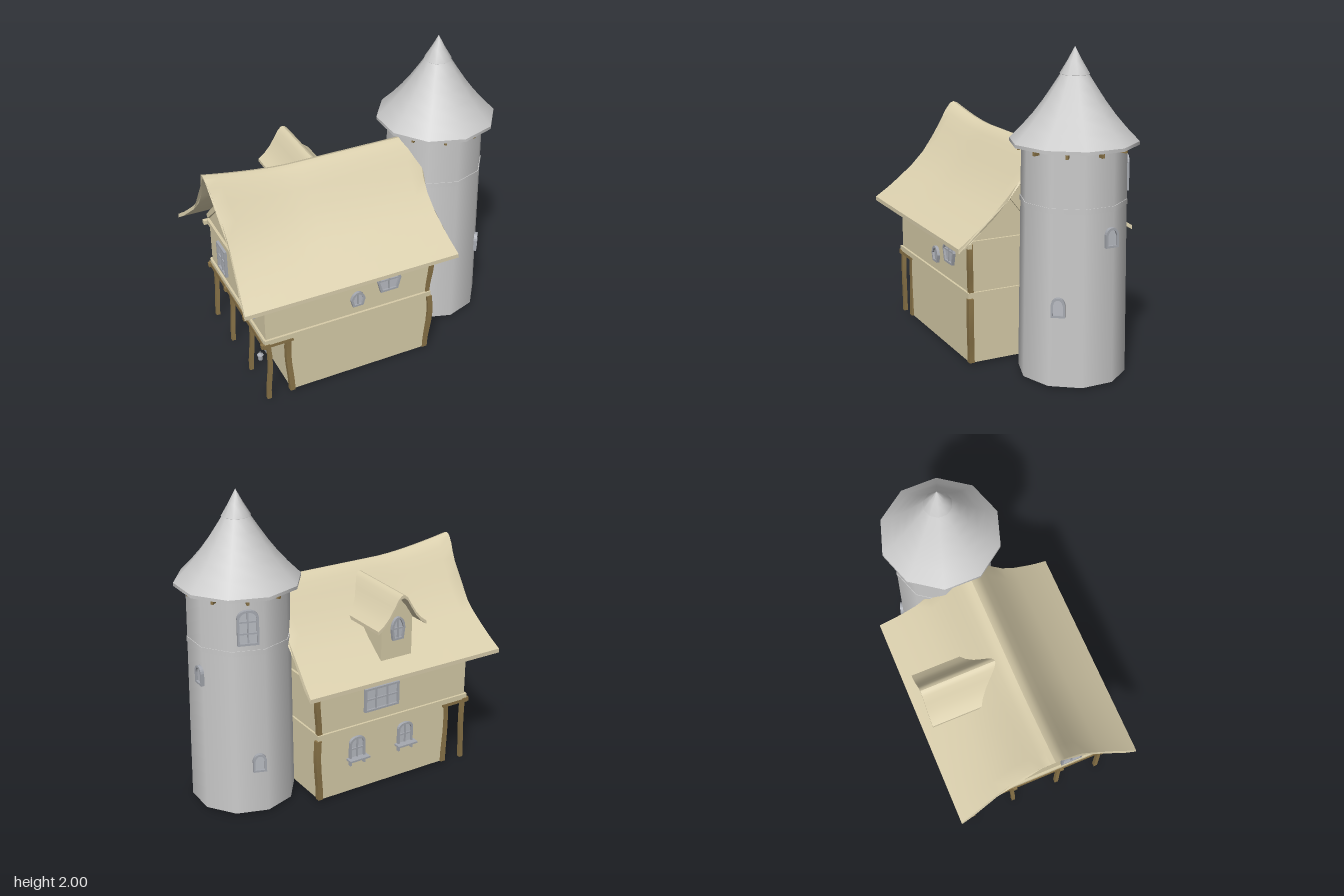
import * as THREE from 'three';
import { toCreasedNormals } from 'three/addons/utils/BufferGeometryUtils.js';

const mat = (color) => new THREE.MeshStandardMaterial({ color, side: THREE.DoubleSide });
const stone = mat(0xcccccc), plaster = mat(0xd8cda9), thatch = mat(0xdbd0ae);
const wood = mat(0x8a7448), frameMat = mat(0xa6a9b0), glass = mat(0xb9bcc3);

const TX = 0.625, TZ = -0.067; // tower centre

function add(parent, name, geo, material, x = 0, y = 0, z = 0) {
  const m = new THREE.Mesh(geo, material);
  m.name = name;
  m.position.set(x, y, z);
  parent.add(m);
  return m;
}
// box given by its limits on each axis
function box(parent, name, material, x0, x1, y0, y1, z0, z1) {
  return add(parent, name, new THREE.BoxGeometry(x1 - x0, y1 - y0, z1 - z0), material,
    (x0 + x1) / 2, (y0 + y1) / 2, (z0 + z1) / 2);
}
function bend(geo, rule) {
  const p = geo.attributes.position, v = new THREE.Vector3();
  for (let i = 0; i < p.count; i++) {
    rule(v.fromBufferAttribute(p, i));
    p.setXYZ(i, v.x, v.y, v.z);
  }
  return toCreasedNormals(geo, 0.6);
}
// mirror a half profile [across, y] running from eave to ridge
const mirrored = (half) => [...half, ...half.slice(0, -1).reverse().map(([a, y]) => [-a, y])];
const toShape = (pts) => new THREE.Shape(pts.map(([a, y]) => new THREE.Vector2(a, y)));
function slabShape(half, thick) {
  const top = mirrored(half);
  return toShape([...top, ...[...top].reverse().map(([a, y]) => [a, y - thick])]);
}
// extrude a shape along x (alongX) or z
function prism(shape, from, to, steps, alongX) {
  const g = new THREE.ExtrudeGeometry(shape, { depth: to - from, steps, bevelEnabled: false });
  g.translate(0, 0, from);
  return alongX ? g.rotateY(Math.PI / 2) : g;
}

// the ridge curls up toward the -x gable
const heightShare = (y) => THREE.MathUtils.clamp((y - 0.8) / 0.575, 0, 1);
function lift(v) {
  v.y += 0.07 * heightShare(v.y) * Math.pow(Math.max(0, -0.45 - v.x) / 0.55, 1.5);
}

// slightly crooked square post
function post(parent, name, x, z, y0, y1, w, sway) {
  const h = y1 - y0;
  const g = new THREE.BoxGeometry(w, h, w, 1, 6, 1);
  add(parent, name, bend(g, (v) => {
    const s = Math.cos((v.y / h + 0.5) * Math.PI * 1.4);
    v.x += sway * s;
    v.z += sway * 0.6 * s * Math.sign(z);
  }), wood, x, (y0 + y1) / 2, z);
}

// beam in a plane of constant x between two [z, y] points
function gableBeam(parent, x, [z0, y0], [z1, y1], w) {
  const m = add(parent, 'gableBeam', new THREE.BoxGeometry(0.03, w, Math.hypot(z1 - z0, y1 - y0)),
    plaster, x, (y0 + y1) / 2, (z0 + z1) / 2);
  m.rotation.x = -Math.atan2(y1 - y0, z1 - z0);
}

// window outline with an arched head and optionally wider shoulders
function archShape(w, h, rise, taper = 0) {
  const s = new THREE.Shape();
  s.moveTo(-w / 2 + taper, -h / 2);
  s.lineTo(w / 2 - taper, -h / 2);
  if (taper) s.lineTo(w / 2, 0);
  s.lineTo(w / 2 - taper / 2, h / 2 - rise);
  if (rise) s.quadraticCurveTo(w / 2 - taper - rise * 0.2, h / 2, 0, h / 2);
  else s.lineTo(0, h / 2);
  if (rise) s.quadraticCurveTo(-w / 2 + taper + rise * 0.2, h / 2, -w / 2 + taper / 2, h / 2 - rise);
  else s.lineTo(-w / 2, h / 2);
  if (taper) s.lineTo(-w / 2, 0);
  s.closePath();
  return s;
}
function makeWindow(parent, name, pos, turn, w, h, { rise = 0, taper = 0, cols = 2, rows = 2, shelf = false } = {}) {
  const g = new THREE.Group(), t = 0.013;
  g.name = name;
  const rim = archShape(w, h, rise, taper);
  rim.holes.push(archShape(w - 2 * t, h - 2 * t, rise * 0.9, taper));
  const opts = { depth: 0.022, bevelEnabled: false, curveSegments: 5 };
  add(g, 'windowFrame', new THREE.ExtrudeGeometry(rim, opts), frameMat);
  add(g, 'windowPane', new THREE.ShapeGeometry(archShape(w - t, h - t, rise, taper), 5), glass, 0, 0, 0.009);
  for (let i = 1; i < cols; i++) {
    const x = -w / 2 + (w * i) / cols;
    box(g, 'upright', frameMat, x - 0.005, x + 0.005, -h / 2 + 0.005, h / 2 - 0.005, 0.004, 0.017);
  }
  for (let i = 1; i < rows; i++) {
    const y = -h / 2 + (h * i) / rows;
    box(g, 'crossbar', frameMat, -w / 2 + 0.005, w / 2 - 0.005, y - 0.005, y + 0.005, 0.004, 0.017);
  }
  if (shelf) {
    box(g, 'windowShelf', frameMat, -w * 0.65, w * 0.65, -h / 2 + 0.01, -h / 2 + 0.022, 0, 0.055);
    for (const s of [-1, 1])
      box(g, 'shelfBracket', frameMat, s * w * 0.45 - 0.006, s * w * 0.45 + 0.006, -h / 2 - 0.03, -h / 2 + 0.01, 0, 0.025);
  }
  g.position.set(...pos);
  g.rotation.y = turn;
  parent.add(g);
}

function makeTower() {
  const g = new THREE.Group();
  g.name = 'tower';
  const v2 = (p) => p.map(([r, y]) => new THREE.Vector2(r, y));
  add(g, 'towerWall', new THREE.CylinderGeometry(0.316, 0.332, 1.43, 10), stone, 0, 0.725, 0);
  add(g, 'towerBand', new THREE.CylinderGeometry(0.324, 0.324, 0.032, 10), stone, 0, 1.085, 0);
  add(g, 'roofRim', new THREE.CylinderGeometry(0.388, 0.388, 0.02, 10), stone, 0, 1.44, 0);
  add(g, 'towerRoof', new THREE.LatheGeometry(v2([[0.388, 1.45], [0.31, 1.53], [0.245, 1.605],
    [0.185, 1.685], [0.135, 1.76], [0.083, 1.84]]), 10), stone);
  add(g, 'roofCap', new THREE.LatheGeometry(v2([[0.083, 1.835], [0.09, 1.84], [0.045, 1.915], [0, 2]]), 10), stone);
  // rim brackets and windows sit on the flat faces
  for (let i = 0; i < 10; i++) {
    const a = (i + 0.5) * Math.PI / 5;
    const b = add(g, 'roofBracket', new THREE.BoxGeometry(0.016, 0.035, 0.05), wood,
      0.315 * Math.sin(a), 1.415, 0.315 * Math.cos(a));
    b.rotation.y = a;
  }
  const onFace = (deg, shift, y, w, h, o) => {
    const a = THREE.MathUtils.degToRad(deg), r = 0.316 - 0.0105 * y;
    makeWindow(g, 'towerWindow', [r * Math.sin(a) + shift * Math.cos(a), y, r * Math.cos(a) - shift * Math.sin(a)], a, w, h, o);
  };
  const slit = { rise: 0.04, cols: 1, rows: 1 };
  onFace(54, -0.045, 0.508, 0.085, 0.12, slit);
  onFace(90, 0.08, 0.917, 0.085, 0.12, slit);
  onFace(162, 0.05, 0.355, 0.085, 0.12, slit);
  onFace(162, 0, 1.25, 0.13, 0.22, { rise: 0.045, rows: 3 });
  g.position.set(TX, 0, TZ);
  return g;
}

function makeHouse() {
  const g = new THREE.Group();
  g.name = 'house';
  box(g, 'groundFloor', plaster, -0.67, 0.305, 0.015, 0.45, -0.475, 0.475);
  const wall = toShape([[-0.475, 0.44], ...mirrored([[0.475, 0.855], [0.26, 1.045], [0.12, 1.215], [0, 1.33]]).reverse(), [0.475, 0.44]]
    .filter((p, i, a) => i === 0 || p !== a[i - 1]));
  add(g, 'upperFloor', bend(prism(wall, -0.83, 0.305, 8, true), lift), plaster);

  // main roof
  const half = [[0.605, 0.81], [0.52, 0.865], [0.44, 0.925], [0.35, 0.995], [0.26, 1.08], [0.19, 1.165],
    [0.12, 1.255], [0.07, 1.325], [0.03, 1.365], [0, 1.375]];
  add(g, 'mainRoof', bend(prism(slabShape(half, 0.027), -1, 0.445, 16, true), (v) => {
    const t = heightShare(v.y);
    lift(v);
    v.x -= 0.045 * Math.sin(Math.PI * t) * (v.x + 0.2775) / 0.7225;
  }), thatch);

  // trim bands, purlins, posts and porch
  for (const s of [-1, 1]) {
    box(g, 'floorBand', plaster, -0.84, 0.32, 0.443, 0.478, s * 0.48 - 0.01, s * 0.48 + 0.01);
    box(g, 'eavePurlin', plaster, -0.87, 0.335, 0.765, 0.795, s * 0.482 - 0.014, s * 0.482 + 0.014);
    post(g, 'cornerPost', 0.308, s * 0.472, 0.015, 0.44, 0.034, -0.012);
    post(g, 'upperCornerPost', 0.31, s * 0.472, 0.478, 0.79, 0.03, -0.01);
    post(g, 'wallPost', -0.675, s * 0.468, 0.015, 0.43, 0.034, 0.008);
  }
  box(g, 'sideBand', plaster, 0.295, 0.318, 0.443, 0.478, -0.48, 0.48);
  box(g, 'sideBand', plaster, -0.845, -0.82, 0.448, 0.478, -0.48, 0.48);
  box(g, 'porchBeam', wood, -0.85, -0.81, 0.42, 0.45, -0.495, 0.495);
  for (const z of [-0.475, -0.17, 0.17, 0.475]) {
    post(g, 'porchPost', -0.818, z, 0, 0.425, 0.026, -0.008);
    box(g, 'porchJoist', wood, -0.862, -0.65, 0.42, 0.448, z - 0.014, z + 0.014);
  }

  // gable timbering
  for (const x of [-0.833, 0.306]) {
    gableBeam(g, x, [-0.47, 0.79], [0.47, 0.79], 0.035);
    gableBeam(g, x, [0, 0.8], [0, 1.31], 0.035);
    for (const s of [-1, 1]) {
      gableBeam(g, x, [s * 0.46, 0.835], [s * 0.25, 1.03], 0.03);
      gableBeam(g, x, [s * 0.25, 1.03], [0, 1.315], 0.03);
      gableBeam(g, x, [0, 0.82], [s * 0.2, 1.07], 0.03);
    }
  }

  // windows and door
  makeWindow(g, 'frontWindow', [0.015, 0.672, 0.472], 0, 0.165, 0.165, { rise: 0.05, taper: 0.022 });
  makeWindow(g, 'smallFrontWindow', [-0.205, 0.592, 0.472], 0, 0.1, 0.105, { rise: 0.035, taper: 0.014, rows: 1 });
  makeWindow(g, 'wideBackWindow', [-0.155, 0.63, -0.472], Math.PI, 0.26, 0.16, { cols: 3 });
  for (const x of [0.027, -0.345])
    makeWindow(g, 'backWindow', [x, 0.315, -0.472], Math.PI, 0.115, 0.165, { rise: 0.035, shelf: true });
  for (const z of [-0.235, 0.24])
    makeWindow(g, 'gableWindow', [-0.827, 0.63, z], -Math.PI / 2, 0.15, 0.2, {});
  makeWindow(g, 'door', [-0.667, 0.175, 0], -Math.PI / 2, 0.17, 0.31, { rise: 0.04, rows: 1 });
  return g;
}

function makeDormer() {
  const g = new THREE.Group();
  g.name = 'dormer';
  const half = [[0.18, 1.115], [0.14, 1.145], [0.1, 1.19], [0.065, 1.245], [0.035, 1.295], [0.015, 1.315], [0, 1.32]];
  add(g, 'dormerRoof', bend(prism(slabShape(half, 0.022), -0.557, -0.06, 6, false), (v) => {
    v.y += 0.02 * (v.z + 0.557) * (v.y - 1.1) / 0.2;
  }), thatch);
  const wall = toShape([[-0.115, 0.85], [0.115, 0.85], [0.115, 1.14], [0.06, 1.225], [0, 1.29], [-0.06, 1.225], [-0.115, 1.14]]);
  add(g, 'dormerWall', prism(wall, -0.495, -0.15, 1, false), plaster);
  makeWindow(g, 'dormerWindow', [0, 1.085, -0.493], Math.PI, 0.1, 0.15, { rise: 0.045, taper: 0.01 });
  g.position.x = -0.25;
  return g;
}

// lantern standing on the porch floor
function makeLantern() {
  const g = new THREE.Group();
  g.name = 'lantern';
  add(g, 'lanternBody', new THREE.CylinderGeometry(0.016, 0.016, 0.04, 6), frameMat, 0, 0.037, 0);
  add(g, 'lanternLid', new THREE.ConeGeometry(0.024, 0.016, 6), frameMat, 0, 0.065, 0);
  add(g, 'lanternRing', new THREE.TorusGeometry(0.006, 0.002, 4, 8), frameMat, 0, 0.077, 0);
  g.position.set(-0.745, 0, 0.125);
  return g;
}

export function createModel() {
  const model = new THREE.Group();
  model.name = 'cottageWithTower';
  model.add(makeHouse(), makeDormer(), makeTower(), makeLantern());
  return model;
}
